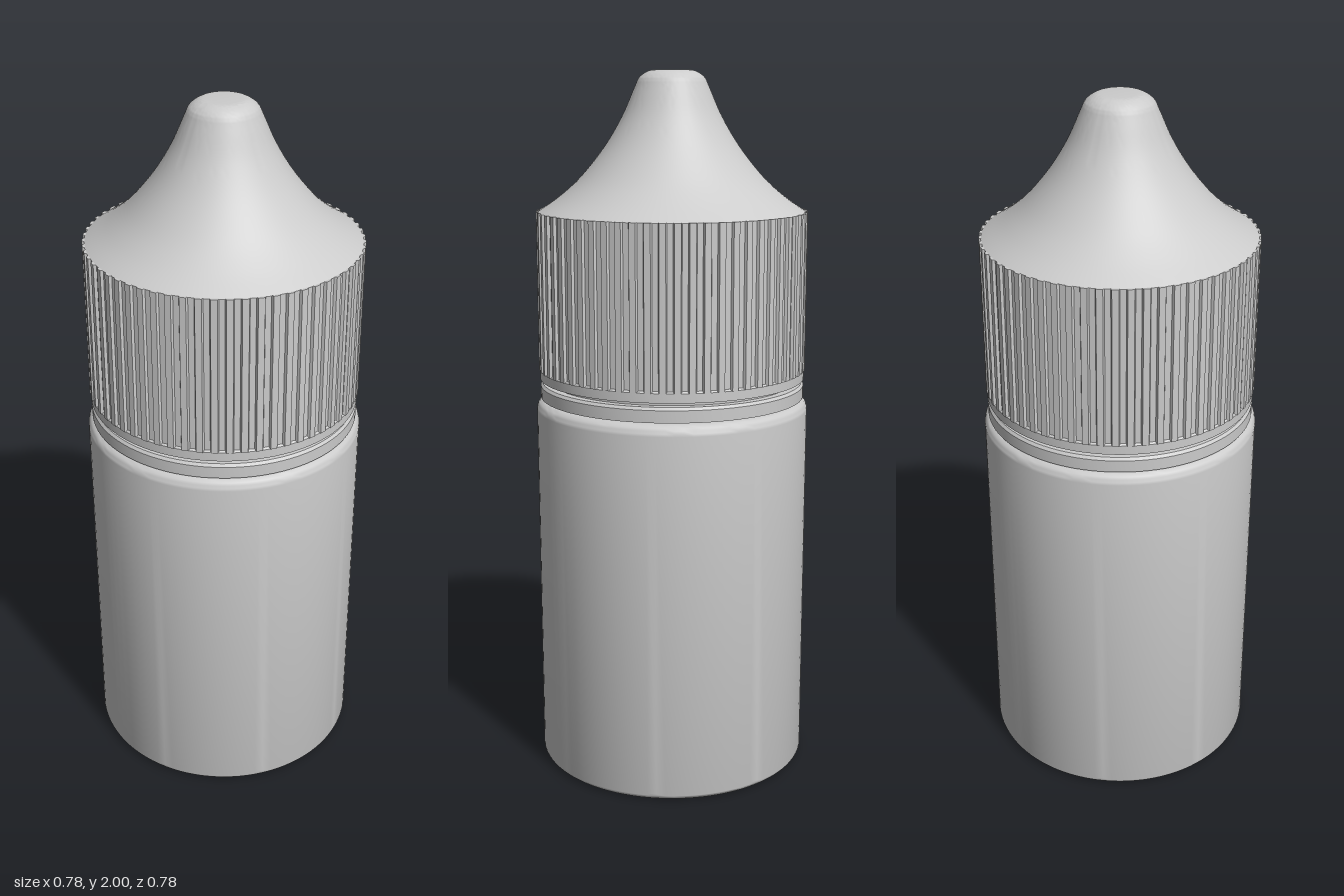
import * as THREE from 'three';
import { toCreasedNormals } from 'three/addons/utils/BufferGeometryUtils.js';

const material = new THREE.MeshStandardMaterial({ color: 0xcccccc });
const SEGMENTS = 96;

function addMesh(group, name, geometry) {
  const mesh = new THREE.Mesh(geometry, material);
  mesh.name = name;
  group.add(mesh);
  return mesh;
}

// Revolve a [radius, height] profile, keeping sharp edges sharp
function lathe(profile) {
  const points = profile.map(([r, y]) => new THREE.Vector2(r, y));
  return toCreasedNormals(new THREE.LatheGeometry(points, SEGMENTS), 0.6);
}

// Quarter-round profile points about a centre, from angle a to angle b
function arc(cx, cy, radius, a, b, steps = 6) {
  return Array.from({ length: steps + 1 }, (_, i) => {
    const t = a + ((b - a) * i) / steps;
    return [cx + radius * Math.cos(t), cy + radius * Math.sin(t)];
  });
}

// Outline of the grip: shallow, evenly spaced ribs around a circle
function ribbedShape(count, inner, outer) {
  const shape = new THREE.Shape();
  const pitch = (Math.PI * 2) / count;
  const steps = [[0, inner], [0.4, inner], [0.48, outer], [0.92, outer]];
  for (let i = 0; i < count; i++) {
    for (const [f, r] of steps) {
      const a = (i + f) * pitch;
      const x = r * Math.cos(a), y = r * Math.sin(a);
      if (i === 0 && f === 0) shape.moveTo(x, y);
      else shape.lineTo(x, y);
    }
  }
  shape.closePath();
  return shape;
}

export function createModel() {
  const model = new THREE.Group();
  model.name = 'dropperBottle';

  // Bottle: moulding mark in the base, rounded heel and shoulder, short neck
  const half = Math.PI / 2;
  addMesh(model, 'bottleBody', lathe([
    [0, 0.004], [0.012, 0.004], [0.012, 0.008], [0.092, 0.008], [0.092, 0.002],
    ...arc(0.37, 0.02, 0.02, -half, 0),
    ...arc(0.36, 1.053, 0.03, 0, half),
    [0.35, 1.083], [0.35, 1.16], [0, 1.16],
  ]));

  // Tamper-evident band, separated from bottle and cap by narrow gaps
  addMesh(model, 'tamperBand', lathe([
    [0.34, 1.088], [0.378, 1.088], [0.378, 1.122], [0.372, 1.13], [0.34, 1.13],
  ]));

  // Cap rim below the grip
  const cap = new THREE.Group();
  cap.name = 'cap';
  model.add(cap);
  addMesh(cap, 'capRim', lathe([
    [0.33, 1.142], [0.379, 1.142], [0.379, 1.168], [0.374, 1.173], [0.33, 1.173],
  ]));

  // Ribbed grip
  const grip = new THREE.ExtrudeGeometry(ribbedShape(60, 0.374, 0.382), {
    depth: 0.447, bevelEnabled: false,
  });
  grip.rotateX(-half);
  grip.translate(0, 1.168, 0);
  addMesh(cap, 'capGrip', grip);

  // Concave spout cover with a softly rounded tip
  const flare = new THREE.SplineCurve([
    [0.376, 1.614], [0.315, 1.656], [0.255, 1.71], [0.19, 1.79],
    [0.14, 1.872], [0.105, 1.95], [0.09, 1.98], [0.065, 1.997], [0.045, 2],
  ].map(([r, y]) => new THREE.Vector2(r, y)));
  addMesh(cap, 'capSpout', lathe([
    ...flare.getPoints(40).map((p) => [p.x, Math.min(p.y, 2)]), [0, 2],
  ]));

  return model;
}
